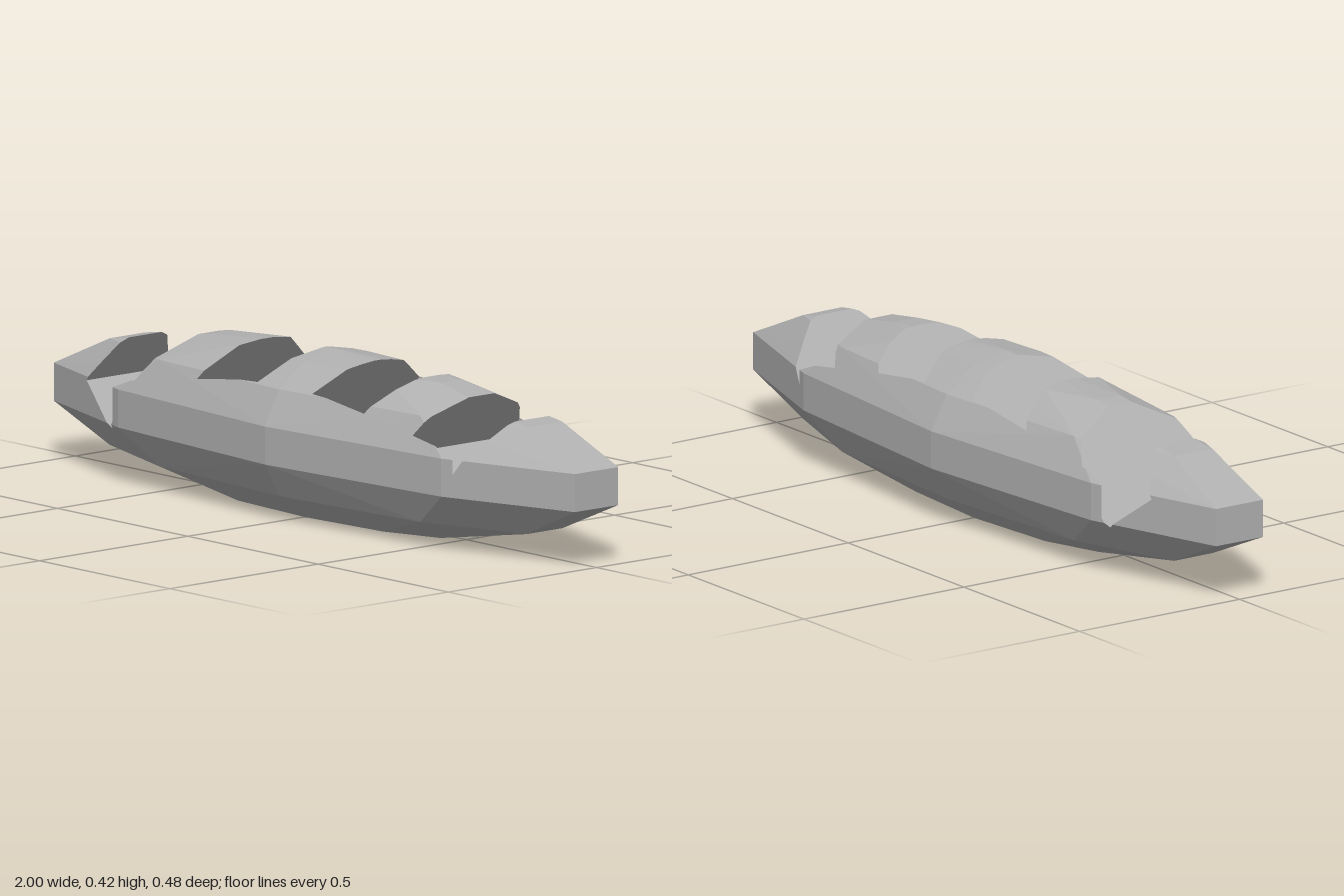
import * as THREE from 'three';
import { ConvexGeometry } from 'three/addons/geometries/ConvexGeometry.js';

const EPS = 1e-6;
const V = (x, y, z) => new THREE.Vector3(x, y, z);

// Convex solid as triangles, with their outward planes
function convexSolid(points) {
  const pos = new ConvexGeometry(points).getAttribute('position');
  const faces = [], planes = [];
  for (let i = 0; i < pos.count; i += 3) {
    const tri = [0, 1, 2].map((k) => new THREE.Vector3().fromBufferAttribute(pos, i + k));
    const plane = new THREE.Plane().setFromCoplanarPoints(...tri);
    faces.push(tri);
    const known = planes.some((p) => p.normal.dot(plane.normal) > 1 - 1e-7 && Math.abs(p.constant - plane.constant) < 1e-5);
    if (!known) planes.push(plane);
  }
  return { faces, planes };
}

// Split a convex polygon into the parts outside and inside a plane
function split(poly, plane) {
  const outside = [], inside = [];
  poly.forEach((a, i) => {
    const b = poly[(i + 1) % poly.length];
    const da = plane.distanceToPoint(a), db = plane.distanceToPoint(b);
    if (da >= -EPS) outside.push(a);
    if (da <= EPS) inside.push(a);
    if ((da > EPS && db < -EPS) || (da < -EPS && db > EPS)) {
      const p = a.clone().lerp(b, da / (da - db));
      outside.push(p);
      inside.push(p);
    }
  });
  const some = (sign) => poly.some((p) => sign * plane.distanceToPoint(p) > EPS);
  return [some(1) ? outside : [], some(1) && !some(-1) ? [] : inside];
}

// Remove a convex solid from one polygon
function subtract(poly, planes) {
  const kept = [];
  let rest = poly;
  for (const plane of planes) {
    const [outside, inside] = split(rest, plane);
    if (outside.length > 2) kept.push(outside);
    rest = inside;
    if (rest.length < 3) break;
  }
  return rest.length < 3 ? [poly] : kept;
}

// Keep only what lies within a convex solid
function intersect(poly, planes) {
  for (const plane of planes) {
    poly = split(poly, plane)[1];
    if (poly.length < 3) return [];
  }
  return [poly];
}

function polygonsMesh(name, polys, material) {
  const data = [];
  for (const p of polys)
    for (let i = 1; i < p.length - 1; i++)
      for (const v of [p[0], p[i], p[i + 1]]) data.push(v.x, v.y, v.z);
  const geometry = new THREE.BufferGeometry();
  geometry.setAttribute('position', new THREE.Float32BufferAttribute(data, 3));
  geometry.computeVertexNormals();
  const mesh = new THREE.Mesh(geometry, material);
  mesh.name = name;
  return mesh;
}

export function createModel() {
  const group = new THREE.Group();
  group.name = 'slashedLoaf';
  const grey = new THREE.MeshStandardMaterial({ color: 0xb0b0b0 });
  grey.name = 'plain grey';

  // Loaf: horizontal outlines [x, half depth], mirrored to all quadrants
  const belly = [[0, 0.24], [0.62, 0.19], [1, 0.073]];
  const shoulder = [[0, 0.192], [0.5, 0.156], [0.8, 0.06]];
  const flat = [[0, 0.107], [0.28, 0.086], [0.44, 0.034]];
  const levels = [[0, flat], [0.065, shoulder], [0.152, belly], [0.25, belly],
    [0.34, shoulder], [0.401, flat], [0.422, [[0, 0]]]];
  const points = [];
  for (const [y, outline] of levels)
    for (const [x, z] of outline)
      for (const sx of x ? [1, -1] : [1])
        for (const sz of z ? [1, -1] : [1]) points.push(V(sx * x, y, sz * z));
  const loaf = convexSolid(points);

  // Slanted slashes along the top
  const section = [[-0.805, 0.24], [-0.67, 0.14], [-0.378, 0.54], [-0.605, 0.54]];
  const slashes = [0, 0.425, 0.85, 1.27].map((dx) =>
    convexSolid(section.flatMap(([x, y]) => [V(x + dx, y, 0.18), V(x + dx, y, -0.18)])));

  // Crust with the slashes taken out
  let crust = loaf.faces;
  for (const s of slashes) crust = crust.flatMap((p) => subtract(p, s.planes));
  group.add(polygonsMesh('crust', crust, grey));

  // Inner walls of each slash
  slashes.forEach((s, i) => {
    const walls = s.faces.flatMap((p) => intersect(p, loaf.planes)).map((p) => [...p].reverse());
    group.add(polygonsMesh('slash' + (i + 1), walls, grey));
  });
  return group;
}
